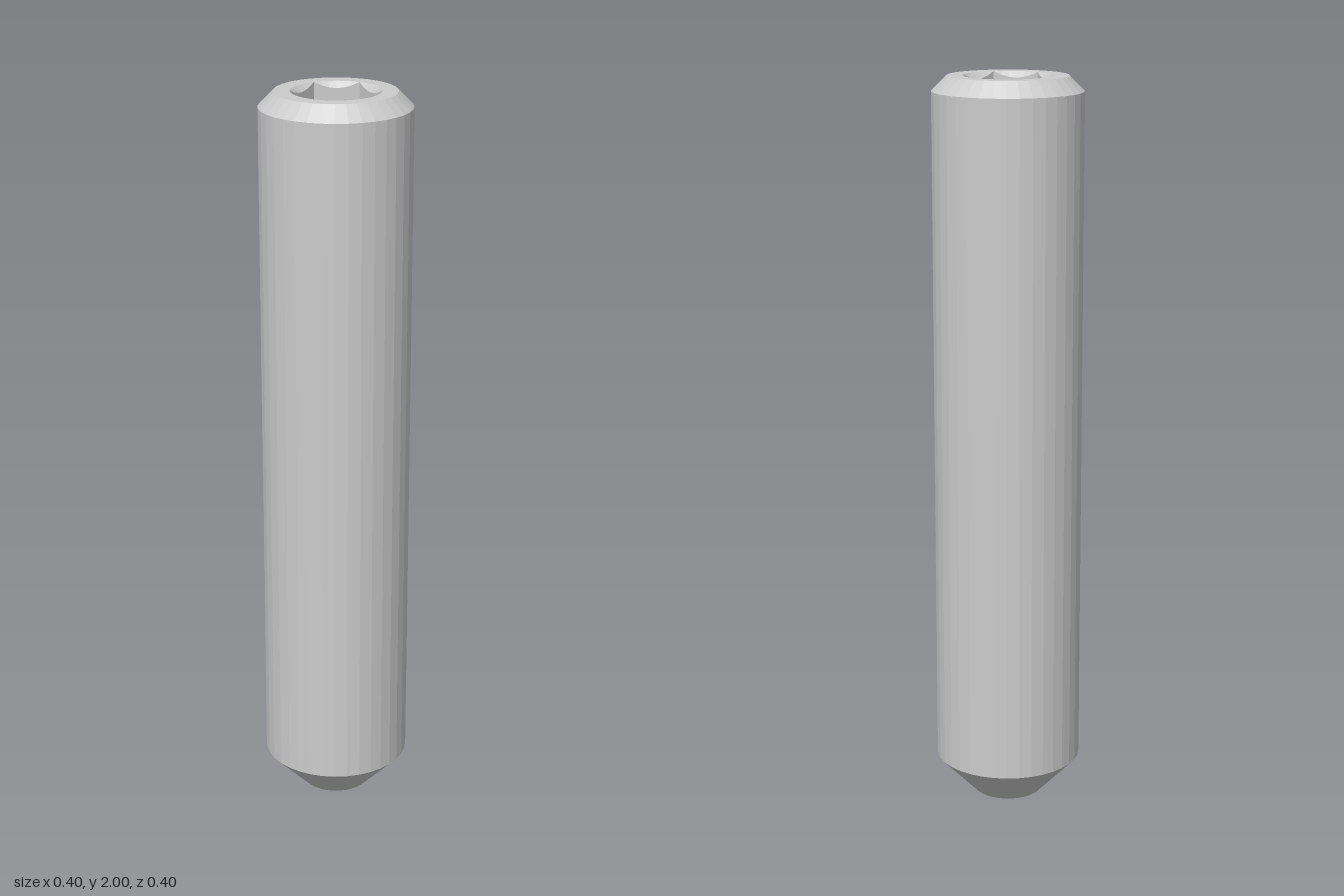
import * as THREE from 'three';

const SIDES = 36;
const RIM = 0.118; // socket corner radius
const TOP = 2;

const material = new THREE.MeshStandardMaterial({ color: 0xcccccc, flatShading: true });

function lathe(points) {
  return new THREE.LatheGeometry(points.map(([r, y]) => new THREE.Vector2(r, y)), SIDES);
}

function addPart(group, name, geometry) {
  const flat = geometry.toNonIndexed();
  flat.computeVertexNormals();
  const mesh = new THREE.Mesh(flat, material);
  mesh.name = name;
  group.add(mesh);
}

// Distance from the axis to the hexagon's wall, with flats facing +z and -z
function hexRadius(angle) {
  const step = Math.PI / 3;
  const fromFlat = angle - Math.round(angle / step) * step;
  return RIM * Math.cos(step / 2) / Math.cos(fromFlat);
}

// Hexagonal socket: a 45 degree countersink meets six flat walls and a flat floor
function socketGeometry() {
  const floor = 1.77;
  const profile = [[RIM, TOP], [RIM, TOP - 0.01], [RIM, floor], [0, floor]];
  const geometry = lathe(profile);
  const pos = geometry.attributes.position;
  for (let i = 0; i < pos.count; i++) {
    const ring = i % profile.length;
    if (ring !== 1 && ring !== 2) continue;
    const angle = Math.atan2(pos.getX(i), pos.getZ(i));
    const r = hexRadius(angle);
    const y = ring === 1 ? TOP - (RIM - r) : floor;
    pos.setXYZ(i, r * Math.sin(angle), y, r * Math.cos(angle));
  }
  return geometry;
}

export function createModel() {
  const group = new THREE.Group();
  group.name = 'setScrew';

  // Conical hollow in the tip
  addPart(group, 'cupHollow', lathe([[0, 0.055], [0.095, 0]]));
  // Tapered point, shank, top chamfer and flat rim around the socket
  addPart(group, 'taperedPoint', lathe([[0.095, 0], [0.2, 0.11]]));
  addPart(group, 'shank', lathe([[0.2, 0.11], [0.2, 1.96]]));
  addPart(group, 'topChamfer', lathe([[0.2, 1.96], [0.16, TOP]]));
  addPart(group, 'topRim', lathe([[0.16, TOP], [RIM, TOP]]));
  addPart(group, 'hexSocket', socketGeometry());

  return group;
}
